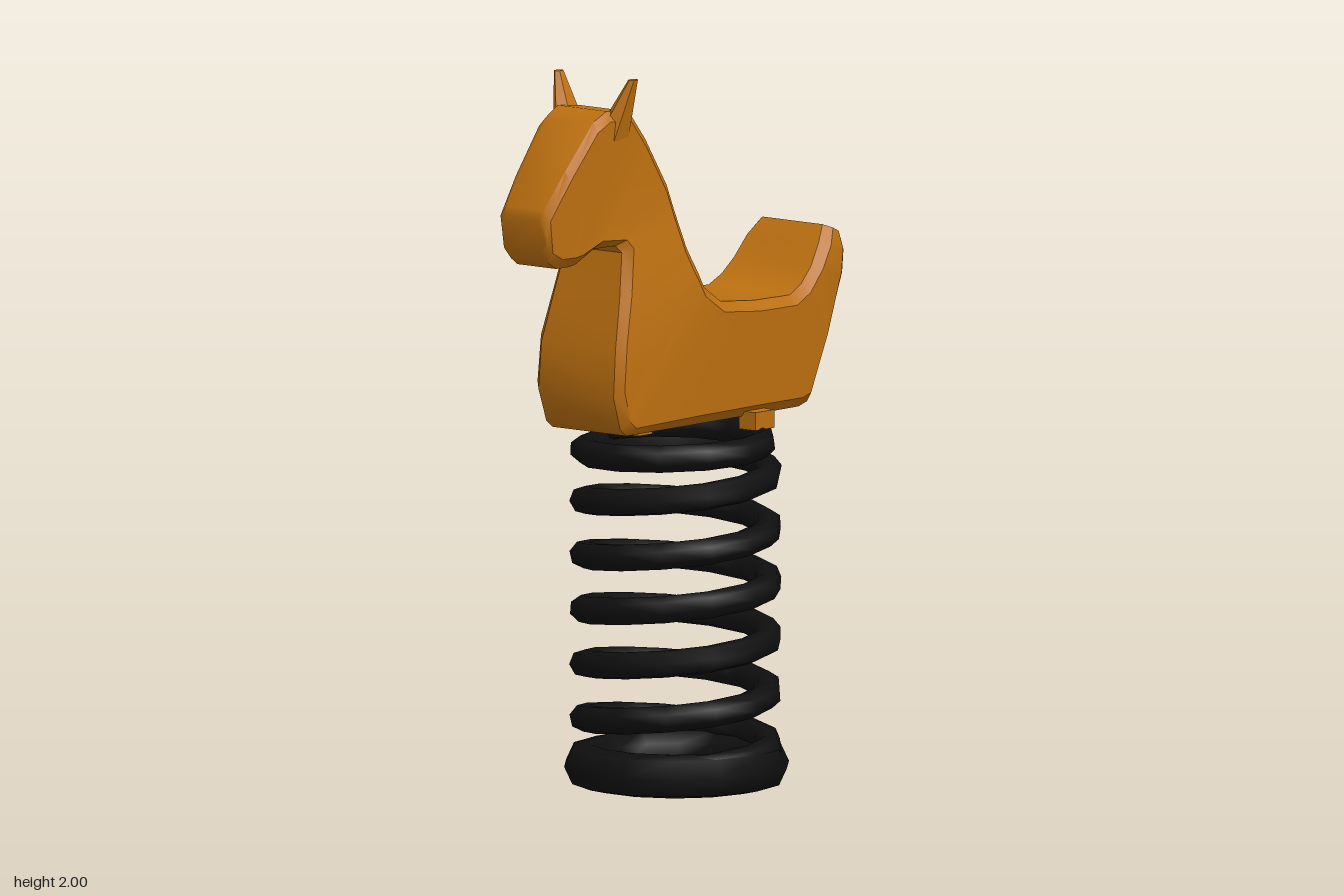
import * as THREE from 'three';
import { toCreasedNormals } from 'three/addons/utils/BufferGeometryUtils.js';

const SPRING_Z = -0.045;

// Cross-sections from tail to snout: [topZ, topY, bottomZ, bottomY, top half-width, bottom half-width]
const SECTIONS = [
  [-0.53, 1.505, -0.59, 1.475, 0.13, 0.13],
  [-0.49, 1.46, -0.6, 1.43, 0.15, 0.145],
  [-0.445, 1.4, -0.585, 1.37, 0.16, 0.153],
  [-0.4, 1.36, -0.51, 1.19, 0.165, 0.158],
  [-0.35, 1.335, -0.435, 1.03, 0.168, 0.155],
  [-0.33, 1.335, -0.4, 1.02, 0.168, 0.155],
  [-0.2, 1.337, -0.2, 1.02, 0.168, 0.157],
  [-0.06, 1.35, 0.05, 1.02, 0.168, 0.157],
  [0.005, 1.395, 0.32, 1.02, 0.165, 0.155],
  [0.012, 1.415, 0.345, 1.04, 0.16, 0.155],
  [0.02, 1.435, 0.375, 1.13, 0.157, 0.157],
  [0.035, 1.47, 0.365, 1.26, 0.148, 0.155],
  [0.05, 1.51, 0.33, 1.395, 0.138, 0.14],
  [0.08, 1.61, 0.3, 1.52, 0.122, 0.122],
  [0.105, 1.685, 0.315, 1.54, 0.115, 0.112],
  [0.185, 1.82, 0.4, 1.54, 0.107, 0.105],
  [0.26, 1.905, 0.435, 1.52, 0.112, 0.1],
  [0.35, 1.915, 0.465, 1.505, 0.11, 0.098],
  [0.4, 1.89, 0.49, 1.5, 0.106, 0.096],
  [0.51, 1.765, 0.54, 1.5, 0.098, 0.092],
  [0.59, 1.665, 0.57, 1.52, 0.09, 0.088],
  [0.6, 1.64, 0.585, 1.545, 0.078, 0.078],
];

// Lofted shape with chamfered rectangular cross-sections
function loftBody() {
  const pos = [], idx = [], n = 8;
  for (const [tz, ty, bz, by, wt, wb] of SECTIONS) {
    const len = Math.hypot(tz - bz, ty - by);
    const c = Math.min(0.028 / len, 0.3), r = 0.022;
    const ring = [
      [wt - r, 0], [r - wt, 0], [-wt, c], [-wb, 1 - c],
      [r - wb, 1], [wb - r, 1], [wb, 1 - c], [wt, c],
    ];
    for (const [x, t] of ring) pos.push(x, ty + (by - ty) * t, tz + (bz - tz) * t);
  }
  const last = (SECTIONS.length - 1) * n;
  for (let j = 0; j < last; j += n) {
    for (let i = 0; i < n; i++) {
      const a = j + i, b = j + (i + 1) % n;
      idx.push(a, b, a + n, b, b + n, a + n);
    }
  }
  for (let i = 1; i < n - 1; i++) {
    idx.push(0, i + 1, i);
    idx.push(last, last + i, last + i + 1);
  }
  const geo = new THREE.BufferGeometry();
  geo.setAttribute('position', new THREE.Float32BufferAttribute(pos, 3));
  geo.setIndex(idx);
  return toCreasedNormals(geo, 0.6);
}

// Tapered ear leaning outward; side is +1 or -1
function earGeometry(side) {
  const geo = new THREE.CylinderGeometry(0.014, 0.055, 0.18, 6);
  const p = geo.attributes.position;
  for (let i = 0; i < p.count; i++) {
    const t = p.getY(i) / 0.18 + 0.5;
    p.setX(i, p.getX(i) * 0.85 + side * (0.066 + 0.068 * t));
    p.setY(i, 1.82 + 0.18 * t);
    p.setZ(i, p.getZ(i) * 1.15 + 0.315 - 0.023 * t);
  }
  return toCreasedNormals(geo, 0.6);
}

// Rising coil, levelling out and tightening under the seat
class Coil extends THREE.Curve {
  getPoint(u, target = new THREE.Vector3()) {
    const turn = -0.9 + 6.65 * u;
    const a = turn * Math.PI * 2;
    const y = turn < 4.75 ? 0.21 + 0.15 * turn : 0.9225 + 0.05 * (turn - 4.75);
    const r = turn < 5 ? 0.255 : 0.255 - 0.045 * (turn - 5);
    return target.set(r * Math.sin(a), y, SPRING_Z + r * Math.cos(a));
  }
}

export function createModel() {
  const group = new THREE.Group();
  const amber = new THREE.MeshStandardMaterial({ color: 0xbd7010 });
  amber.name = 'amber paint';
  const black = new THREE.MeshStandardMaterial({ color: 0x0f0f0f });
  black.name = 'black steel';

  const add = (name, geo, mat, x = 0, y = 0, z = 0) => {
    const mesh = new THREE.Mesh(geo, mat);
    mesh.name = name;
    mesh.position.set(x, y, z);
    group.add(mesh);
    return mesh;
  };

  // Horse: body, neck and head in one skin, plus ears
  add('horseBody', loftBody(), amber);
  add('leftEar', earGeometry(1), amber);
  add('rightEar', earGeometry(-1), amber);

  // Small mounts joining the seat to the spring
  add('frontMount', new THREE.BoxGeometry(0.06, 0.04, 0.06), amber, 0, 1.01, 0.12);
  add('rearMount', new THREE.BoxGeometry(0.06, 0.05, 0.08), amber, 0.155, 1.01, -0.2);

  // Spring with rounded ends
  const coil = new Coil();
  add('spring', new THREE.TubeGeometry(coil, 86, 0.038, 7), black);
  for (const u of [0, 1]) {
    const p = coil.getPoint(u);
    add('springEnd', new THREE.SphereGeometry(0.038, 7, 5), black, p.x, p.y, p.z);
  }

  // Thick ground ring
  const ring = new THREE.TorusGeometry(0.252, 0.06, 7, 14);
  ring.rotateX(Math.PI / 2);
  ring.scale(1, 1.03, 1);
  add('baseRing', ring, black, 0, 0.062, SPRING_Z);

  return group;
}
